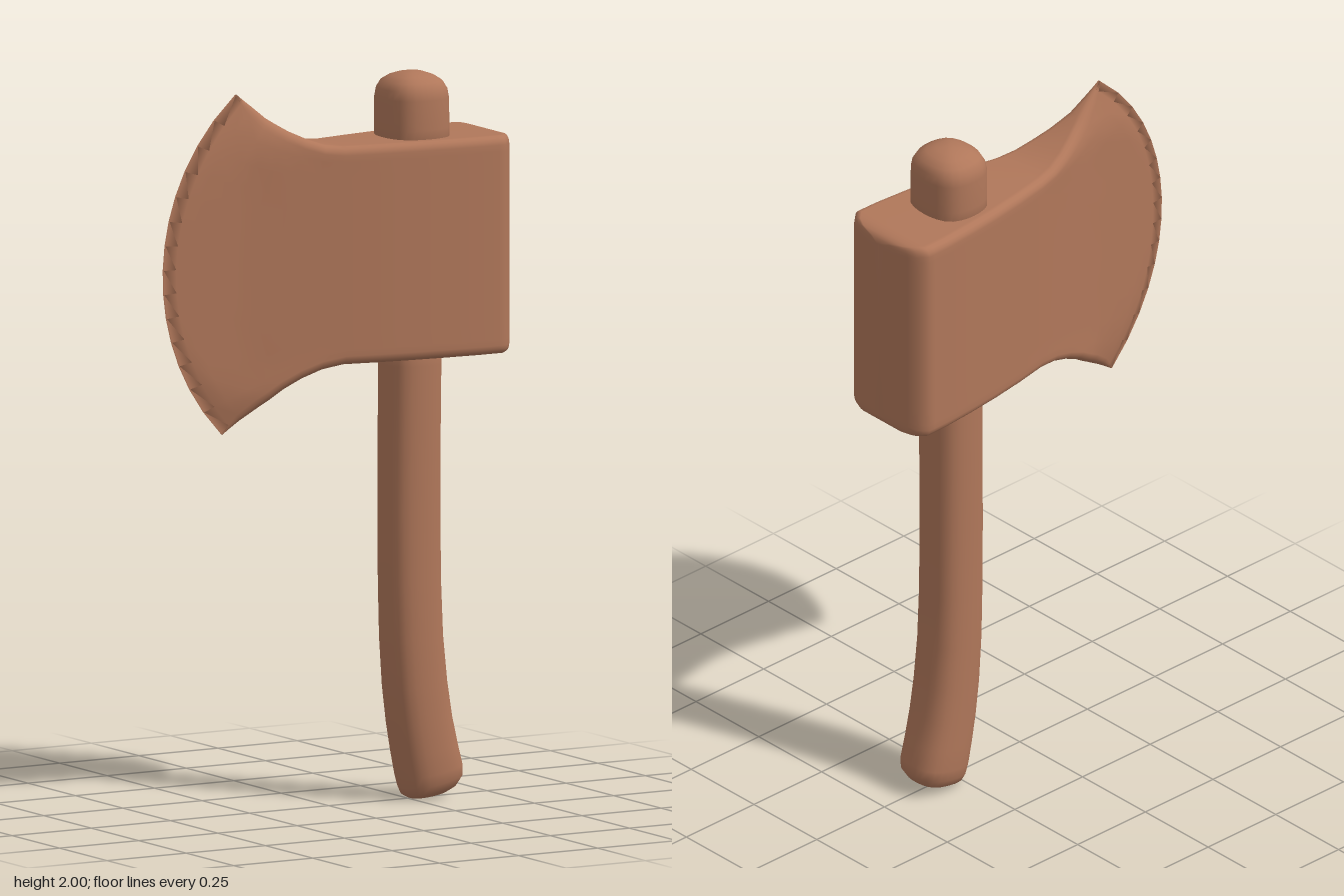
import * as THREE from 'three';

// Skin a list of closed rings (equal point counts, counter-clockwise about the path) and cap both ends
function loft(rings) {
  const n = rings[0].length, pos = [], idx = [];
  rings.forEach(r => r.forEach(p => pos.push(...p)));
  for (let i = 0; i < rings.length - 1; i++)
    for (let j = 0; j < n; j++) {
      const a = i * n + j, b = i * n + (j + 1) % n;
      idx.push(a, b, b + n, a, b + n, a + n);
    }
  [0, rings.length - 1].forEach(i => {
    const c = pos.length / 3;
    pos.push(...[0, 1, 2].map(k => rings[i].reduce((s, p) => s + p[k], 0) / n));
    for (let j = 0; j < n; j++) {
      const a = i * n + j, b = i * n + (j + 1) % n;
      if (i === 0) idx.push(c, b, a); else idx.push(c, a, b);
    }
  });
  const g = new THREE.BufferGeometry();
  g.setAttribute('position', new THREE.Float32BufferAttribute(pos, 3));
  g.setIndex(idx);
  g.computeVertexNormals();
  return g;
}

// Piecewise-linear lookup in [x, value] pairs
function lookup(table, x) {
  for (let i = 1; i < table.length; i++) {
    const [x0, a] = table[i - 1], [x1, b] = table[i];
    if (x <= x1) return a + (b - a) * Math.max(0, (x - x0) / (x1 - x0));
  }
  return table[table.length - 1][1];
}

// Half thickness of the wedge-shaped head along x
const WEDGE = [[-0.52, 0.004], [-0.4, 0.018], [-0.28, 0.033], [-0.15, 0.063], [0, 0.094],
  [0.1, 0.113], [0.2, 0.128], [0.3, 0.139], [0.4, 0.147], [0.47, 0.148],
  [0.495, 0.126], [0.508, 0.1], [0.516, 0.055], [0.52, 0.02]];

// Cutting edge: a circular arc
const edgeX = v => 0.102 - Math.sqrt(0.3906 - (1.05 + 0.93 * v - 1.495) ** 2);

// One head section between yb and yt; xAt(v) gives x at height fraction v
function headRing(yt, yb, xAt) {
  const thickness = v => {
    const x = xAt(v);
    return Math.min(lookup(WEDGE, x), 0.003 + 0.35 * (x - edgeX(v)));
  };
  const front = [], flats = 14;
  const add = (y, z) => front.push([xAt((y - yb) / (yt - yb)), y, z]);
  const corner = (v, sign, y0) => {
    const T = thickness(v), r = Math.min(0.025, T * 0.9);
    for (let k = 0; k <= 4; k++) {
      const a = (sign > 0 ? k : 4 - k) / 4 * Math.PI / 2;
      add(y0 - sign * r * (1 - Math.cos(a)), T - r + r * Math.sin(a));
    }
  };
  corner(1, 1, yt);
  for (let k = 1; k < flats; k++) {
    const v = 1 - k / flats;
    add(yb + v * (yt - yb), thickness(v));
  }
  corner(0, -1, yb);
  return [...front, ...front.map(([x, y, z]) => [x, y, -z]).reverse()];
}

function headGeometry() {
  const rings = [];
  // Flared blade: blends from the curved edge to a straight section at x = 0
  [[0, 1.98, 1.05], [0.07, 1.963, 1.067], [0.15, 1.945, 1.085], [0.3, 1.908, 1.118], [0.4, 1.889, 1.141],
    [0.5, 1.871, 1.165], [0.65, 1.85, 1.192], [0.82, 1.832, 1.214], [1, 1.825, 1.225]]
    .forEach(([s, yt, yb]) => rings.push(headRing(yt, yb, v => edgeX(v) * (1 - s))));
  // Block and rounded butt: x, inset of top and bottom
  [[0.1, 0], [0.2, 0], [0.3, 0], [0.4, 0], [0.45, 0], [0.47, 0], [0.483, 0], [0.495, 0.002],
    [0.508, 0.006], [0.516, 0.015], [0.52, 0.028]]
    .forEach(([x, d]) => rings.push(headRing(1.825 - d, 1.225 + d, () => x)));
  return loft(rings);
}

// Stacked, slightly squared ovals: [y, centre x, half width, half depth, tilt]
function shaftGeometry(rows) {
  const n = 28;
  return loft(rows.map(([y, cx, rx, rz, tilt = 0]) => Array.from({ length: n }, (_, j) => {
    const a = j / n * Math.PI * 2, s = Math.sin(a), c = Math.cos(a);
    const q = (s ** 4 + c ** 4) ** -0.12;
    return [cx + rx * s * q, y + tilt * s * rx, rz * c * q];
  })));
}

export function createModel() {
  const group = new THREE.Group();
  const clay = new THREE.MeshStandardMaterial({ color: 0xb0775a });
  clay.name = 'warm brown';
  const add = (name, geometry) => {
    const mesh = new THREE.Mesh(geometry, clay);
    mesh.name = name;
    group.add(mesh);
  };

  add('axeHead', headGeometry());

  // Curved grip with a slanted, rounded foot
  add('handle', shaftGeometry([
    [0.008, 0.305, 0.03, 0.025, 0.1], [0.013, 0.308, 0.052, 0.045, 0.15], [0.026, 0.314, 0.073, 0.064, 0.17],
    [0.05, 0.319, 0.086, 0.076, 0.2], [0.08, 0.315, 0.089, 0.081, 0.2], [0.14, 0.301, 0.087, 0.081, 0.2],
    [0.22, 0.285, 0.085, 0.081, 0.17], [0.32, 0.271, 0.084, 0.08, 0.12], [0.45, 0.26, 0.082, 0.079, 0.06],
    [0.6, 0.255, 0.081, 0.078, 0.02], [0.8, 0.253, 0.081, 0.077], [1.0, 0.254, 0.08, 0.079],
    [1.2, 0.256, 0.08, 0.08], [1.3, 0.257, 0.08, 0.08]]));

  // Domed handle end above the head
  add('handleTop', shaftGeometry([
    [1.75, 0.262, 0.093, 0.101], [1.85, 0.262, 0.093, 0.101], [1.93, 0.262, 0.092, 0.1],
    [1.955, 0.262, 0.088, 0.095], [1.975, 0.262, 0.077, 0.083], [1.989, 0.262, 0.057, 0.06],
    [1.997, 0.262, 0.034, 0.035], [2.0, 0.262, 0.012, 0.012]]));

  return group;
}
